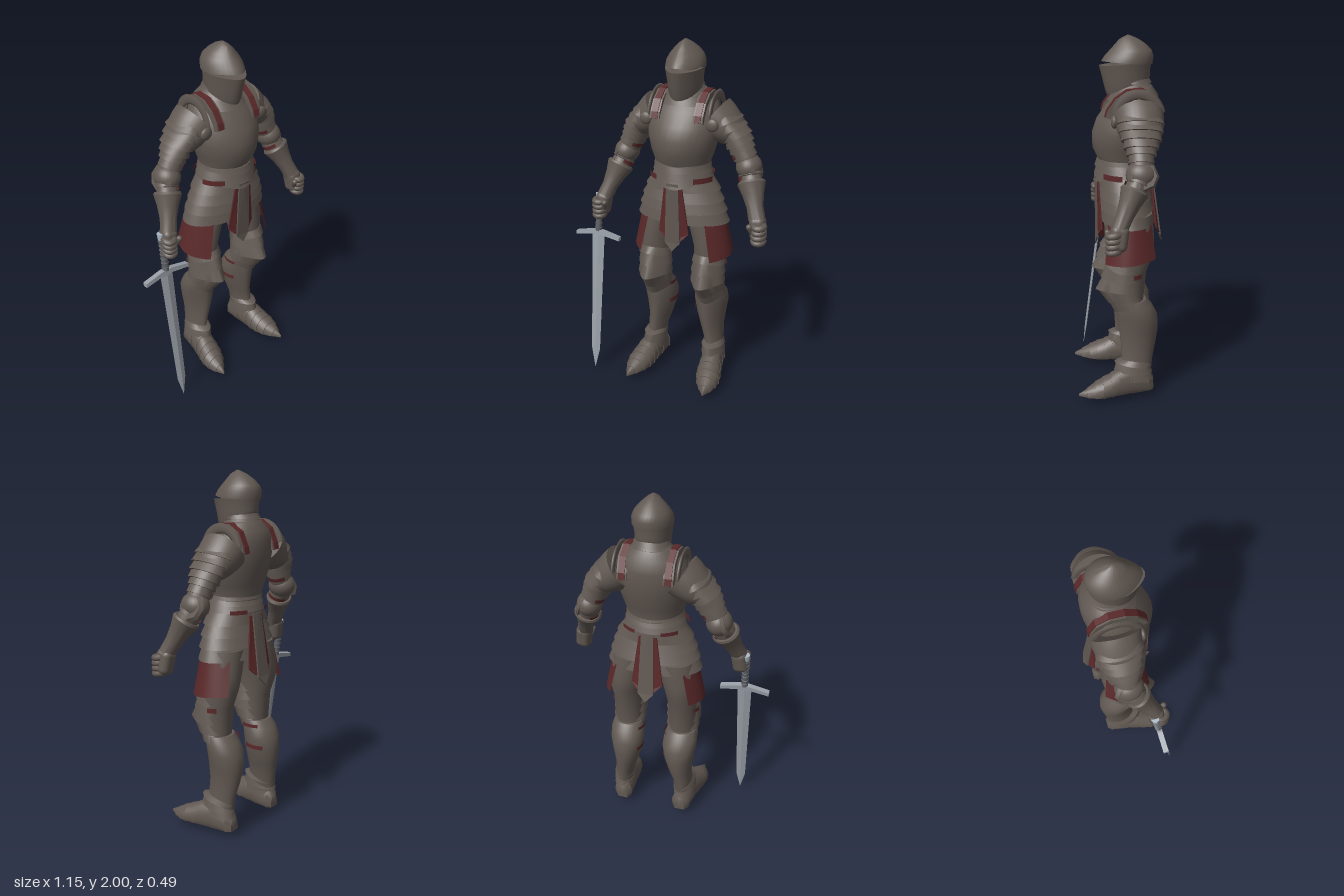
import * as THREE from 'three';
import { toCreasedNormals } from 'three/addons/utils/BufferGeometryUtils.js';
import { RoundedBoxGeometry } from 'three/addons/geometries/RoundedBoxGeometry.js';

const material = (name, color, side = THREE.FrontSide) =>
  Object.assign(new THREE.MeshStandardMaterial({ color, side }), { name });
const steel = material('dark steel', 0x615852);
const red = material('oxblood leather', 0x5a2829, THREE.DoubleSide);
const blade = material('blade steel', 0x9aa0a8);
const pale = material('pommel steel', 0xa9b6c6);
const gripGrey = material('grip wrap', 0x5e6065);

function add(parent, name, geo, mat, pos = [0, 0, 0], scale = [1, 1, 1], rot = [0, 0, 0]) {
  const mesh = new THREE.Mesh(geo, mat);
  mesh.name = name;
  mesh.position.set(...pos);
  mesh.scale.set(...scale);
  mesh.rotation.set(...rot);
  parent.add(mesh);
}

// Closed skin over rings [y, centreX, halfWidth, zFront, zBack, ridge, tilt, dip]
function loft(rings, n = 32, crease = 0.6) {
  const pos = [], idx = [];
  const up = rings[rings.length - 1][0] > rings[0][0];
  const tri = (a, b, c) => (up ? idx.push(a, b, c) : idx.push(a, c, b));
  for (const [y, cx, w, zf, zb, ridge = 0, tilt = 0, dip = 0] of rings)
    for (let i = 0; i < n; i++) {
      const a = (i / n) * Math.PI * 2, c = Math.cos(a), f = Math.max(0, c);
      pos.push(cx + w * Math.sin(a), y + tilt * c - dip * f ** 3,
        (zf + zb) / 2 + ((zf - zb) / 2) * c + ridge * f ** 6);
    }
  for (let j = 0; j < rings.length - 1; j++)
    for (let i = 0; i < n; i++) {
      const a = j * n + i, b = j * n + ((i + 1) % n);
      tri(a, b, b + n);
      tri(a, b + n, a + n);
    }
  const last = (rings.length - 1) * n, c0 = pos.length / 3;
  for (const r of [rings[0], rings[rings.length - 1]]) pos.push(r[1], r[0], (r[3] + r[4]) / 2);
  for (let i = 0; i < n; i++) {
    const k = (i + 1) % n;
    tri(c0, k, i);
    tri(c0 + 1, last + i, last + k);
  }
  const geo = new THREE.BufferGeometry();
  geo.setAttribute('position', new THREE.Float32BufferAttribute(pos, 3));
  geo.setIndex(idx);
  return toCreasedNormals(geo, crease);
}

// Overlapping plates: every ring steps inwards by a lip before the next plate
const lames = (rings, lip = 0.012) => loft(rings.flatMap((r, i) => {
  if (i === 0 || i === rings.length - 1) return [r];
  const [y, cx, w, zf, zb, ...rest] = r;
  return [r, [y, cx, w - lip, zf - lip, zb + lip, ...rest]];
}));

// Leather strap around part of a limb
function strap(parent, pos, rx, rz, h, start, length) {
  add(parent, 'strap', new THREE.CylinderGeometry(1, 1, h, 20, 1, true, start, length), red, pos, [rx, 1, rz]);
}

const plate = (pts, depth) => new THREE.ExtrudeGeometry(
  new THREE.Shape(pts.map(p => new THREE.Vector2(...p))), { depth, bevelEnabled: false });

// Plate whose side edges curve back around the body
function bentPlate(pts, depth) {
  const geo = plate(pts, depth), p = geo.attributes.position;
  for (let i = 0; i < p.count; i++) p.setZ(i, p.getZ(i) - 3 * p.getX(i) ** 2);
  geo.computeVertexNormals();
  return geo;
}

// Group whose local -y runs from one joint to the next
function limb(parent, name, from, to) {
  const g = new THREE.Group();
  const a = new THREE.Vector3(...from);
  g.name = name;
  g.position.copy(a);
  g.quaternion.setFromUnitVectors(new THREE.Vector3(0, -1, 0), new THREE.Vector3(...to).sub(a).normalize());
  parent.add(g);
  return g;
}

function buildHead(body) {
  add(body, 'bevor', loft([
    [1.75, 0, 0.088, 0.045, -0.165, 0.016, -0.04, 0.012], [1.765, 0, 0.091, 0.052, -0.168, 0.018, -0.036, 0.008],
    [1.80, 0, 0.093, 0.06, -0.165, 0.024, -0.022], [1.862, 0, 0.103, 0.074, -0.175, 0.028, -0.014]]), steel);
  add(body, 'visorSlit', loft([[1.83, 0, 0.09, 0.05, -0.16], [1.89, 0, 0.09, 0.04, -0.16]]), steel);
  add(body, 'helmetSkull', loft([
    [1.862, 0, 0.105, 0.066, -0.178, 0.024, 0.008], [1.895, 0, 0.102, 0.052, -0.183, 0.022],
    [1.925, 0, 0.088, 0.028, -0.173, 0.018], [1.955, 0, 0.062, 0.004, -0.142, 0.014],
    [1.98, 0, 0.034, -0.012, -0.105, 0.008], [1.993, 0, 0.014, -0.03, -0.075], [2, 0, 0.003, -0.045, -0.055]]), steel);
  add(body, 'gorget', lames([[1.80, 0, 0.078, 0.0, -0.15], [1.76, 0, 0.095, 0.015, -0.175],
    [1.72, 0, 0.12, 0.03, -0.19], [1.67, 0, 0.14, 0.058, -0.205]]), steel);
}

function buildTorso(body) {
  add(body, 'cuirass', loft([
    [1.30, 0, 0.148, 0.09, -0.165], [1.35, 0, 0.15, 0.107, -0.165], [1.42, 0, 0.175, 0.13, -0.185, 0.01],
    [1.50, 0, 0.195, 0.134, -0.208, 0.008], [1.57, 0, 0.2, 0.113, -0.218, 0.004], [1.64, 0, 0.185, 0.068, -0.22],
    [1.70, 0, 0.155, 0.02, -0.208], [1.745, 0, 0.10, -0.02, -0.175]]), steel);
  add(body, 'waistPlates', lames([[1.375, 0, 0.15, 0.108, -0.16, 0.01, 0, 0.02], [1.34, 0, 0.16, 0.118, -0.172, 0.012, 0, 0.02],
    [1.31, 0, 0.165, 0.118, -0.176, 0.016, 0, 0.035], [1.275, 0, 0.172, 0.118, -0.18, 0.02, 0, 0.04]], 0.01), steel);
  add(body, 'faulds', lames([[1.285, 0, 0.16, 0.09, -0.165], [1.21, 0, 0.215, 0.105, -0.174],
    [1.15, 0, 0.238, 0.11, -0.181], [1.09, 0, 0.256, 0.11, -0.19], [1.025, 0, 0.27, 0.105, -0.193],
    [1.02, 0, 0.255, 0.095, -0.18]], 0.016), steel);

  // Hanging cloth, front and back, with a steel centre plate
  for (const s of [1, -1]) {
    const g = new THREE.Group();
    g.name = s > 0 ? 'frontTabard' : 'backTabard';
    g.position.set(0, 1.255, s > 0 ? 0.118 : -0.176);
    g.rotation.set(s > 0 ? 0 : 0.15, s > 0 ? 0 : Math.PI, 0);
    add(g, 'tabardCloth', bentPlate([[-0.05, 0], [-0.087, -0.28], [-0.05, -0.32], [0, -0.32], [0.05, -0.32],
      [0.087, -0.28], [0.05, 0], [0, 0]], 0.008), red);
    add(g, 'tabardPlate', bentPlate([[-0.034, 0.01], [-0.044, -0.335], [0, -0.385], [0.044, -0.335],
      [0.034, 0.01], [0, 0.01]], 0.008), steel, [0, 0, 0.006]);
    body.add(g);
  }
}

function buildArm(side) {
  const shoulder = [0.21, 1.665, -0.09], elbow = [0.36, 1.35, -0.075], wrist = [0.445, 1.12, 0.035];
  // Shoulder plate sloping outwards from the flange
  const cap = limb(side, 'shoulder', [0.165, 1.6, -0.085], [0.325, 1.48, -0.085]);
  add(cap, 'shoulderCap', loft([[0.01, 0, 0.115, 0.125, -0.13], [-0.03, 0, 0.11, 0.122, -0.128], [-0.08, 0, 0.096, 0.115, -0.12],
    [-0.12, 0, 0.083, 0.105, -0.108], [-0.155, 0, 0.06, 0.08, -0.08], [-0.17, 0, 0.03, 0.04, -0.04]]), steel);
  const upper = limb(side, 'upperArm', shoulder, elbow);
  add(upper, 'pauldron', lames([[-0.04, -0.015, 0.05, 0.1, -0.1], [-0.09, -0.012, 0.075, 0.12, -0.123],
    [-0.135, -0.008, 0.08, 0.112, -0.115], [-0.18, 0, 0.08, 0.10, -0.105], [-0.22, 0, 0.077, 0.088, -0.09],
    [-0.255, 0, 0.071, 0.075, -0.078]], 0.014), steel);
  add(upper, 'upperArmPlate', lames([[-0.22, 0, 0.055, 0.06, -0.06], [-0.295, 0, 0.066, 0.066, -0.066],
    [-0.355, 0, 0.058, 0.06, -0.06]], 0.008), steel);
  strap(upper, [0, -0.275, 0], 0.067, 0.069, 0.022, Math.PI * 1.15, Math.PI * 0.7);
  // Standing shoulder flange, a thin blade of a ring
  add(side, 'shoulderFlange', new THREE.TorusGeometry(0.112, 0.026, 6, 28, Math.PI * 1.1), steel,
    [0.17, 1.607, -0.085], [1, 1, 0.3], [0, Math.PI / 2, 0.15]);
  add(side, 'shoulderDisc', new THREE.SphereGeometry(0.034, 20, 12), steel, [0.188, 1.585, 0.042], [1, 1, 0.5]);

  // Elbow guard with its pointed outer wing
  add(side, 'elbowCop', new THREE.SphereGeometry(1, 24, 16), steel, elbow, [0.07, 0.07, 0.078]);
  add(side, 'elbowWing', new THREE.CylinderGeometry(0.066, 0.08, 0.018, 8), steel,
    [0.4, 1.352, -0.08], [1, 1, 1], [0, 0, -1.2]);
  const fore = limb(side, 'forearm', elbow, wrist);
  add(fore, 'vambrace', lames([[0, 0, 0.055, 0.055, -0.06], [-0.05, 0, 0.064, 0.06, -0.062],
    [-0.10, 0, 0.06, 0.058, -0.06]], 0.008), steel);
  add(fore, 'gauntletCuff', loft([[-0.08, 0, 0.068, 0.068, -0.068], [-0.092, 0, 0.077, 0.073, -0.073],
    [-0.15, 0, 0.059, 0.056, -0.056], [-0.22, 0, 0.045, 0.045, -0.045], [-0.29, 0, 0.046, 0.042, -0.042]]), steel);
  strap(fore, [0, -0.062, 0], 0.066, 0.066, 0.02, Math.PI * 1.15, Math.PI * 0.7);

  // Closed fist
  const hand = new THREE.Group();
  hand.name = 'hand';
  hand.position.set(0.465, 1.05, 0.06);
  add(hand, 'palm', new RoundedBoxGeometry(0.086, 0.135, 0.092, 4, 0.032), steel, [-0.004, 0.008, -0.012], [1, 1, 1], [-0.15, 0, 0.15]);
  for (let i = 0; i < 4; i++)
    add(hand, 'finger', new THREE.TorusGeometry(0.024, 0.018, 8, 16), steel,
      [0.008, 0.03 - i * 0.028, 0.014], [1.05, 1.1, 1], [Math.PI / 2 + 0.15, 0, 0]);
  add(hand, 'thumb', new THREE.CapsuleGeometry(0.016, 0.045, 4, 10), steel, [-0.032, 0.01, 0.03], [1, 1, 1], [0.5, 0, 0.3]);
  side.add(hand);
}

function buildLeg(side) {
  add(side, 'thigh', loft([[1.08, 0.12, 0.112, 0.06, -0.17], [0.95, 0.15, 0.105, 0.06, -0.178, 0.006],
    [0.86, 0.163, 0.095, 0.053, -0.17, 0.01], [0.76, 0.163, 0.085, 0.06, -0.135], [0.60, 0.163, 0.08, 0.03, -0.12]]), steel);
  add(side, 'kneeGuard', lames([[0.82, 0.165, 0.086, 0.055, -0.10, 0.012, 0, -0.02], [0.775, 0.165, 0.097, 0.072, -0.108, 0.022, 0, -0.03],
    [0.72, 0.163, 0.1, 0.075, -0.108, 0.04, 0, -0.015], [0.665, 0.163, 0.1, 0.085, -0.112, 0.058],
    [0.61, 0.163, 0.096, 0.05, -0.116, 0.025, 0, 0.03], [0.565, 0.165, 0.094, 0.02, -0.135, 0.02, 0, 0.04]], 0.009), steel);
  add(side, 'greave', loft([[0.60, 0.163, 0.085, 0.015, -0.135], [0.56, 0.163, 0.097, 0.01, -0.17, 0.018],
    [0.50, 0.16, 0.1, 0.0, -0.2, 0.022], [0.42, 0.16, 0.087, -0.007, -0.205, 0.022], [0.33, 0.167, 0.068, -0.014, -0.192, 0.018],
    [0.25, 0.182, 0.056, -0.014, -0.175, 0.014], [0.15, 0.187, 0.055, 0.01, -0.165]]), steel);
  add(side, 'anklePlates', lames([[0.24, 0.185, 0.052, -0.01, -0.165], [0.21, 0.188, 0.066, 0.028, -0.17, 0.014, 0.015],
    [0.165, 0.19, 0.067, 0.035, -0.173, 0.01, 0.01], [0.12, 0.192, 0.065, 0.045, -0.176]], 0.01), steel);
  strap(side, [0.163, 0.575, -0.07], 0.099, 0.098, 0.02, Math.PI * 1.3, Math.PI * 0.35);
  strap(side, [0.16, 0.45, -0.103], 0.095, 0.106, 0.024, Math.PI * 1.3, Math.PI * 0.4);
  strap(side, [0.165, 0.755, -0.03], 0.1, 0.102, 0.026, Math.PI * 0.58, Math.PI * 0.16);

  // Pointed plated shoe, built along z and flattened underneath
  const foot = lames([[-0.178, 0.183, 0.03, 0, -0.12], [-0.15, 0.185, 0.055, 0, -0.16], [-0.05, 0.195, 0.064, 0, -0.205],
    [0.02, 0.205, 0.07, 0, -0.185], [0.065, 0.212, 0.074, 0, -0.158], [0.11, 0.22, 0.073, 0, -0.138],
    [0.155, 0.227, 0.06, 0, -0.116], [0.20, 0.234, 0.036, 0, -0.088], [0.247, 0.24, 0.003, -0.04, -0.06]], 0.004);
  foot.rotateX(Math.PI / 2);
  const p = foot.attributes.position;
  for (let i = 0; i < p.count; i++) p.setY(i, Math.max(p.getY(i), 0.047));
  foot.computeVertexNormals();
  add(side, 'shoe', toCreasedNormals(foot, 0.7), steel);

  // Curved leather panel hanging over the hip
  const panel = new THREE.PlaneGeometry(2, 1, 12, 4), q = panel.attributes.position;
  for (let i = 0; i < q.count; i++) {
    const u = -q.getX(i), t = 0.5 - q.getY(i);
    q.setXYZ(i, 0.25 + 0.04 * t - (u > 0 ? 0.082 : 0.06) * u * u, 1.03 - t * (0.195 + 0.015 * u), -0.042 + u * (0.115 + 0.02 * t));
  }
  panel.computeVertexNormals();
  add(side, 'hipPanel', panel, red);
}

function buildSide(body, sign) {
  const side = new THREE.Group();
  side.name = sign > 0 ? 'leftSide' : 'rightSide';
  side.scale.x = sign;
  buildArm(side);
  buildLeg(side);
  // Belt showing at the flanks, front and back
  strap(side, [0, 1.28, -0.035], 0.187, 0.153, 0.03, 0.6, 0.75);
  strap(side, [0, 1.28, -0.035], 0.187, 0.153, 0.022, 2.2, 0.55);
  // Leather strap over the shoulder on a wider steel backing, drawn in side profile
  const arc = [[0.085, 1.6], [0.075, 1.635], [0.033, 1.695], [-0.03, 1.738], [-0.11, 1.745], [-0.175, 1.705], [-0.21, 1.63], [-0.217, 1.595]];
  const shrink = k => arc.map(([z, y]) => [-0.06 + (z + 0.06) * k, 1.55 + (y - 1.55) * k]);
  const turn = [0, -Math.PI / 2, 0];
  add(side, 'shoulderStrap', plate([...arc, ...shrink(0.86).reverse()], 0.034), red, [0.138, 0, 0], [1, 1, 1], turn);
  add(side, 'strapBacking', plate([...shrink(0.97), ...shrink(0.8).reverse()], 0.054), steel, [0.148, 0, 0], [1, 1, 1], turn);
  body.add(side);
}

function buildSword() {
  const sword = new THREE.Group();
  sword.name = 'sword';
  sword.position.set(-0.44, 0.87, 0.062);
  sword.rotation.x = -0.13;
  add(sword, 'blade', loft([[-0.877, 0, 0.001, 0.001, -0.001], [-0.75, 0, 0.028, 0.007, -0.007],
    [0, 0, 0.04, 0.009, -0.009]], 4, 0.1), blade);
  add(sword, 'crossguard', plate([[-0.14, -0.03], [-0.03, -0.012], [0, -0.02], [0.03, -0.012], [0.14, -0.03],
    [0.14, -0.008], [0.03, 0.016], [-0.03, 0.016], [-0.14, -0.008]], 0.03), blade, [0, 0, -0.015]);
  add(sword, 'grip', new THREE.CylinderGeometry(0.017, 0.019, 0.2, 14), gripGrey, [0, 0.11, 0]);
  for (let i = 0; i < 7; i++)
    add(sword, 'gripRing', new THREE.TorusGeometry(0.018, 0.004, 6, 14), gripGrey, [0, 0.03 + i * 0.027, 0], [1, 1, 1], [Math.PI / 2, 0, 0]);
  add(sword, 'pommel', new THREE.CylinderGeometry(0.022, 0.02, 0.035, 8), pale, [0, 0.22, 0]);
  return sword;
}

export function createModel() {
  const model = new THREE.Group();
  model.name = 'armouredKnight';
  const body = new THREE.Group();
  body.name = 'armour';
  body.position.x = 0.055;
  buildHead(body);
  buildTorso(body);
  for (const sign of [1, -1]) buildSide(body, sign);
  model.add(body, buildSword());
  return model;
}
